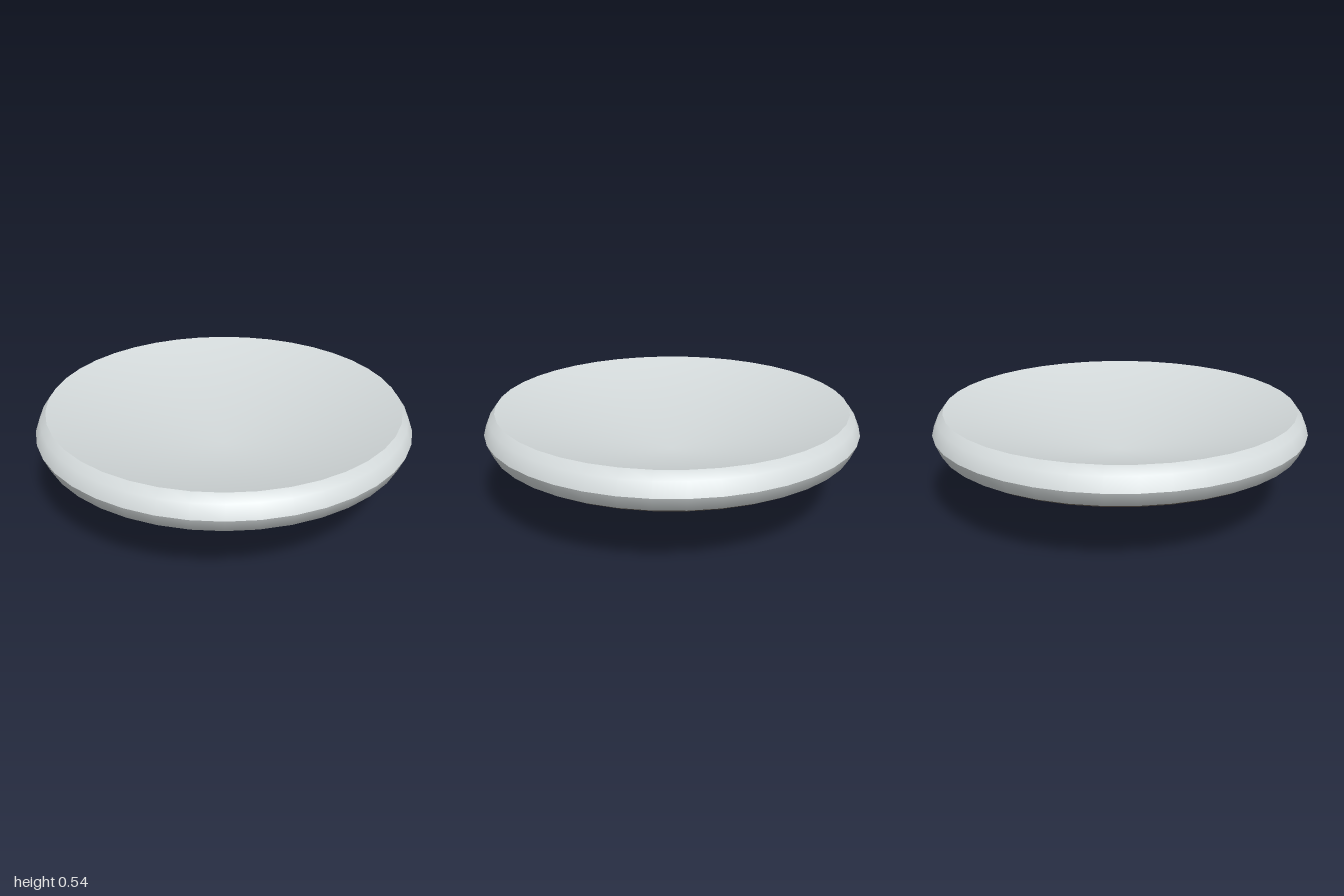
import * as THREE from 'three';

const SEGMENTS = 40;

export function createModel() {
  const model = new THREE.Group();
  const paleGrey = new THREE.MeshStandardMaterial({ color: 0xd3d9da, side: THREE.DoubleSide });
  const darkBrown = new THREE.MeshStandardMaterial({ color: 0x3a3530, side: THREE.DoubleSide });

  function addTurned(name, profile, material) {
    const points = profile.map(([r, y]) => new THREE.Vector2(r, y));
    const geometry = new THREE.LatheGeometry(points, SEGMENTS);
    // Smooth the tip of a cone by pointing its normals along the axis
    const { position, normal } = geometry.attributes;
    for (let i = 0; i < position.count; i++) {
      if (Math.hypot(position.getX(i), position.getZ(i)) < 1e-6) {
        normal.setXYZ(i, 0, Math.sign(normal.getY(i)), 0);
      }
    }
    const mesh = new THREE.Mesh(geometry, material);
    mesh.name = name;
    model.add(mesh);
  }

  // Rim in two halves, with a crease around the widest line
  addTurned('lowerRim', [[0.9, 0.33], [0.97, 0.36], [1, 0.43]], paleGrey);
  addTurned('upperRim', [[1, 0.43], [0.97, 0.5], [0.9, 0.527]], paleGrey);

  // Hollow top, sloping from its lip down to the middle
  addTurned('dish', [[0.94, 0.54], [0, 0.27]], paleGrey);

  // Pointed underside
  addTurned('coneBase', [[0, 0], [0.94, 0.342]], darkBrown);

  return model;
}
